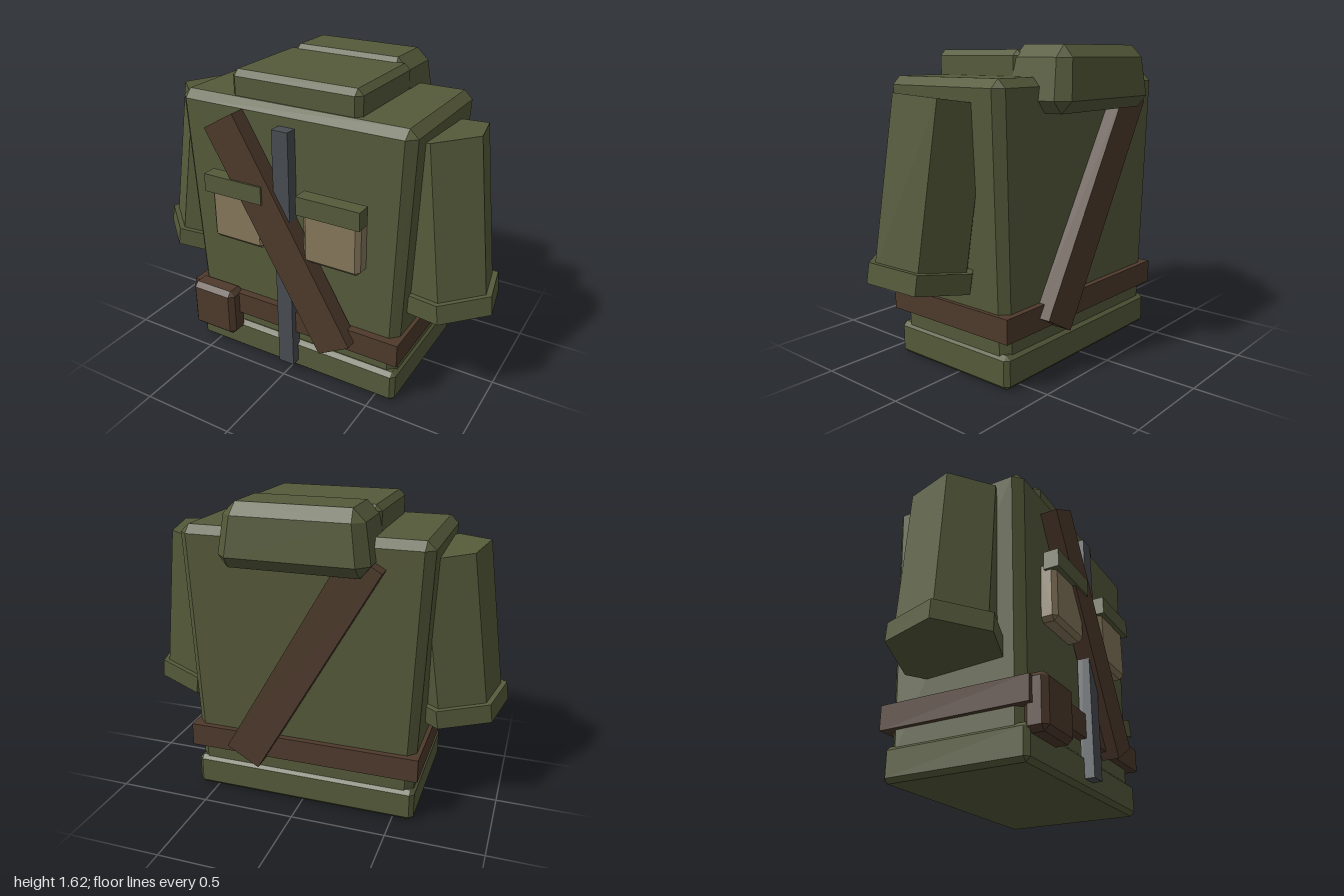
import * as THREE from 'three';
import { ConvexGeometry } from 'three/addons/geometries/ConvexGeometry.js';

const material = (name, color) => Object.assign(new THREE.MeshStandardMaterial({ color, flatShading: true }), { name });

// Box with chamfered edges; the top may be wider or narrower than the bottom
function chamferBox(w, h, d, bevel, topX = 1, topZ = 1) {
  const points = [];
  for (const sx of [-1, 1]) for (const sy of [-1, 1]) for (const sz of [-1, 1]) {
    for (const [bx, by, bz] of [[0, 1, 1], [1, 0, 1], [1, 1, 0]]) {
      const y = sy * (h / 2 - by * bevel);
      const t = y / h + 0.5;
      points.push(new THREE.Vector3(
        sx * (w / 2 - bx * bevel) * (1 + (topX - 1) * t),
        y,
        sz * (d / 2 - bz * bevel) * (1 + (topZ - 1) * t)));
    }
  }
  return new ConvexGeometry(points);
}

export function createModel() {
  const olive = material('olive cloth', 0x555a3a);
  const leather = material('brown leather', 0x4e3a2c);
  const tan = material('tan pocket', 0x85775a);
  const steel = material('zipper steel', 0x484d52);

  const model = new THREE.Group();
  model.name = 'jacket';
  const add = (name, geometry, mat, x, y, z, parent = model) => {
    const mesh = new THREE.Mesh(geometry, mat);
    mesh.name = name;
    mesh.position.set(x, y, z);
    parent.add(mesh);
    return mesh;
  };

  // Torso, hem, collar and the hood folded on the back
  add('torso', chamferBox(1.19, 1.37, 0.715, 0.042, 1.095, 1.045), olive, 0, 0.785, 0.03);
  add('hem', chamferBox(1.22, 0.175, 0.76, 0.022), olive, 0, 0.0875, 0.035);
  add('collar', chamferBox(0.72, 0.22, 0.555, 0.03), olive, 0, 1.487, 0.075);
  add('hood', chamferBox(0.78, 0.317, 0.4, 0.06, 0.87, 0.85), olive, 0, 1.462, -0.3);

  // Sleeves: six-sided, leaning outwards and a little forwards
  for (const side of [1, -1]) {
    const sleeve = new THREE.Group();
    sleeve.name = side > 0 ? 'leftSleeve' : 'rightSleeve';
    sleeve.position.set(side * 0.622, 1.37, 0.042);
    sleeve.rotation.set(-0.05, 0, side * 0.135);
    const tube = (r, h) => new THREE.CylinderGeometry(r, r, h, 6).rotateY(side * 0.2);
    add('arm', tube(0.245, 0.82), olive, 0, -0.41, 0, sleeve);
    add('cuff', tube(0.277, 0.1), olive, 0, -0.835, 0, sleeve);
    model.add(sleeve);
  }

  // Belt and pouch
  add('belt', new THREE.BoxGeometry(1.255, 0.125, 0.795), leather, 0, 0.312, 0.035);
  add('pouch', chamferBox(0.275, 0.272, 0.12, 0.026), leather, -0.462, 0.26, 0.44);

  // Diagonal strap, front and back
  for (const [name, z] of [['frontStrap', 0.445], ['backStrap', -0.375]]) {
    add(name, new THREE.BoxGeometry(0.2, 1.29, 0.09), leather, -0.02, 0.82, z).rotation.z = Math.PI / 6;
  }

  // Zipper
  add('zipper', new THREE.BoxGeometry(0.09, 1.325, 0.065), steel, -0.003, 0.717, 0.433);

  // Chest pockets with flaps
  for (const side of [1, -1]) {
    const pocket = new THREE.Group();
    pocket.name = side > 0 ? 'leftPocket' : 'rightPocket';
    pocket.position.x = side * 0.272;
    add('pocketBag', chamferBox(0.315, 0.32, 0.1, 0.022), tan, 0, 0.88, 0.424, pocket);
    add('pocketFlap', new THREE.BoxGeometry(0.343, 0.096, 0.08), olive, 0, 1.037, 0.46, pocket);
    model.add(pocket);
  }

  return model;
}
